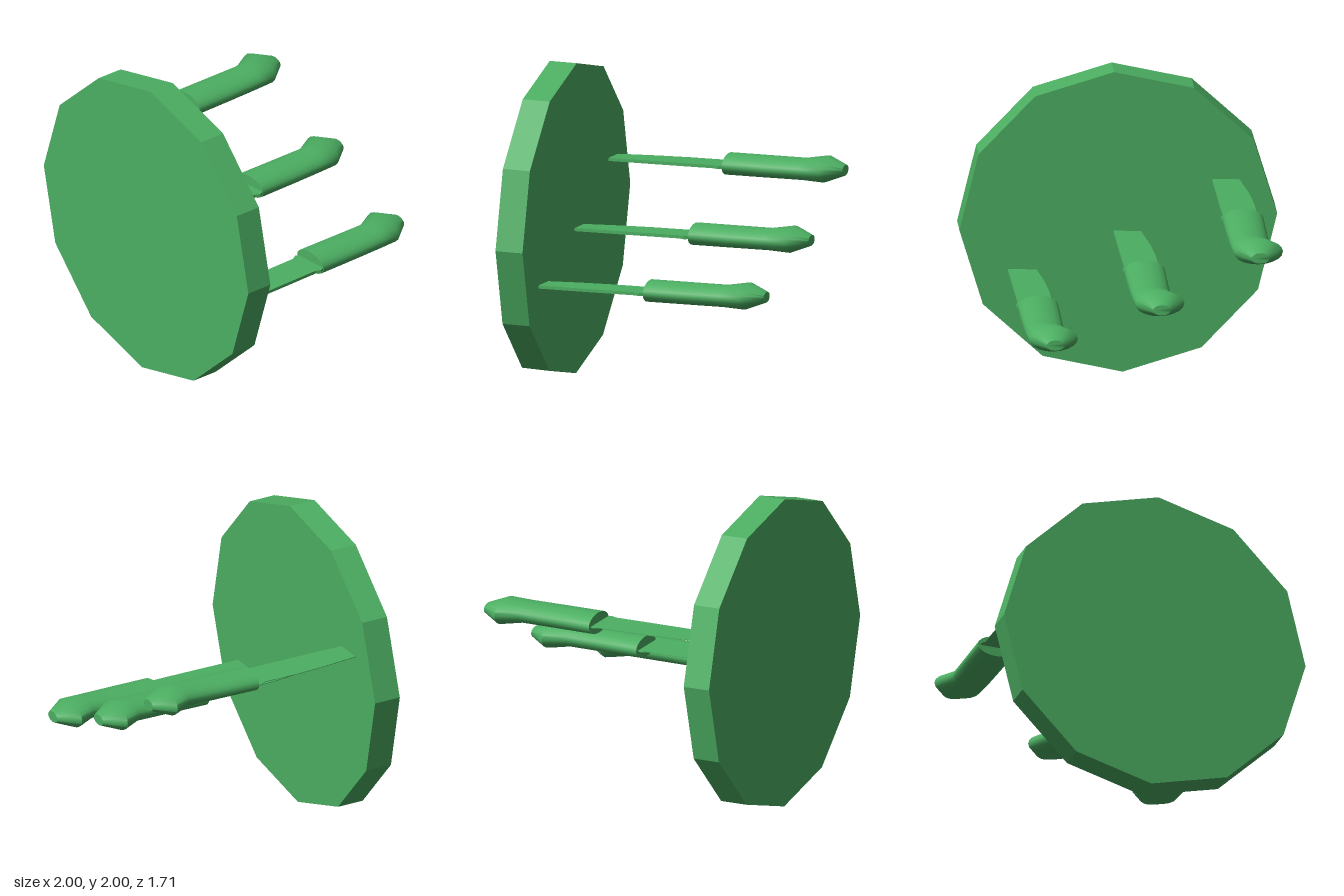
import * as THREE from 'three';
import { toCreasedNormals } from 'three/addons/utils/BufferGeometryUtils.js';

const green = new THREE.MeshStandardMaterial({ color: 0x4caf62 });
const greenFlat = new THREE.MeshStandardMaterial({ color: 0x4caf62, flatShading: true });

// Closed skin over equal-length rings, listed from +z to -z, each counter-clockwise seen from +z
function loft(rings, crease) {
  const n = rings[0].length;
  const points = rings.flat();
  const index = [];
  for (let k = 0; k < rings.length - 1; k++) {
    for (let i = 0; i < n; i++) {
      const a = k * n + i, b = k * n + (i + 1) % n;
      index.push(a, a + n, b, b, a + n, b + n);
    }
  }
  const last = (rings.length - 1) * n;
  for (let i = 1; i < n - 1; i++) {
    index.push(0, i, i + 1, last, last + i + 1, last + i);
  }
  const geometry = new THREE.BufferGeometry();
  geometry.setAttribute('position', new THREE.Float32BufferAttribute(points.flat(), 3));
  geometry.setIndex(index);
  geometry.computeVertexNormals();
  return toCreasedNormals(geometry, crease);
}

// Handle sections: z, left x, right x, height
const handleSections = [
  [-0.09, -0.855, -0.595, 0.135],
  [-0.35, -0.855, -0.6, 0.135],
  [-0.595, -0.855, -0.608, 0.135],
  [-0.725, -0.928, -0.62, 0.165],
  [-0.85, -0.835, -0.72, 0.068],
];

// Blade sections: z, cutting edge x, spine x
const bladeSections = [
  [0.72, -0.75, -0.587],
  [0.65, -0.765, -0.59],
  [0.41, -0.8, -0.594],
  [0.2, -0.818, -0.598],
  [-0.03, -0.823, -0.604],
  [-0.065, -0.845, -0.59],
  [-0.1, -0.826, -0.606],
];

const handleGeometry = loft(handleSections.map(([z, left, right, height]) => {
  const ring = [];
  for (let i = 0; i < 20; i++) {
    const angle = (i / 20) * Math.PI * 2;
    ring.push([
      (left + right) / 2 + Math.cos(angle) * (right - left) / 2,
      Math.sin(angle) * height / 2,
      z,
    ]);
  }
  return ring;
}), 1.0);

const bladeGeometry = loft(bladeSections.map(([z, edge, spine]) => [
  [spine, -0.01, z], [spine, 0.01, z], [edge, 0.002, z], [edge, -0.002, z],
]), 0.3);

function makeKnife(x, y, z) {
  const knife = new THREE.Group();
  knife.name = 'knife';
  const handle = new THREE.Mesh(handleGeometry, green);
  handle.name = 'handle';
  handle.position.y = 0.002;
  const blade = new THREE.Mesh(bladeGeometry, greenFlat);
  blade.name = 'blade';
  knife.add(handle, blade);
  knife.position.set(x, y, z);
  return knife;
}

export function createModel() {
  const model = new THREE.Group();
  model.name = 'knivesInTarget';

  // Twelve-sided board, tilted very slightly
  const boardGeometry = new THREE.CylinderGeometry(1, 1, 0.18, 12);
  boardGeometry.rotateX(Math.PI / 2);
  boardGeometry.rotateZ(-0.028);
  const board = new THREE.Mesh(boardGeometry, greenFlat);
  board.name = 'board';
  board.position.set(0, 1.003, 0.752);
  board.rotation.set(-0.0125, 0.005, 0);
  model.add(board);

  // Three knives stuck into the back of the board
  for (const [x, y, z] of [[0, 1.262, 0], [0.62, 0.935, 0], [1.285, 0.698, 0.058]]) {
    model.add(makeKnife(x, y, z));
  }
  return model;
}
